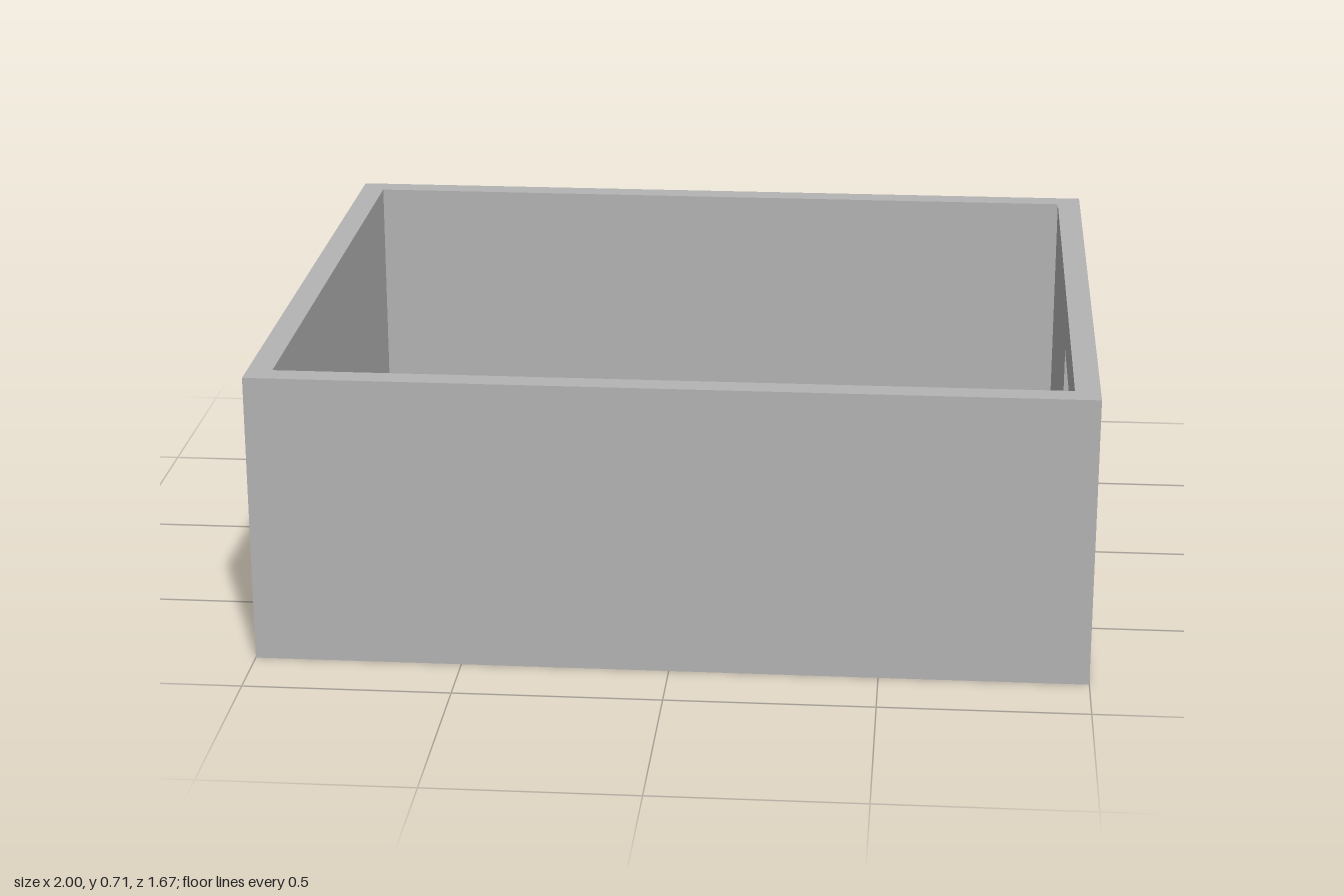
import * as THREE from 'three';
import { toCreasedNormals } from 'three/addons/utils/BufferGeometryUtils.js';

const X = 1, Z = 0.835, H = 0.715, T = 0.06; // half width, half depth, height, wall thickness

const polygon = (points) => new THREE.Shape(points.map(([u, v]) => new THREE.Vector2(u, v)));

const rectangle = (u0, v0, u1, v1) => [[u0, v0], [u1, v0], [u1, v1], [u0, v1]];

// Extrudes a (-z, y) profile along x, from x0 to x1
function extrudeAlongX(shape, x0, x1) {
  const geometry = new THREE.ExtrudeGeometry(shape, { depth: x1 - x0, bevelEnabled: false });
  return geometry.rotateY(Math.PI / 2).translate(x0, 0, 0);
}

export function createModel() {
  const model = new THREE.Group();
  model.name = 'openEnclosure';
  const grey = new THREE.MeshStandardMaterial({ color: 0xb4b4b4 });
  grey.name = 'grey';

  const add = (name, geometry) => {
    const mesh = new THREE.Mesh(geometry, grey);
    mesh.name = name;
    model.add(mesh);
    return mesh;
  };

  // Floor with the front and back walls, as one U profile
  const channel = polygon([
    [-Z, 0], [Z, 0], [Z, H], [Z - T, H], [Z - T, T], [-Z + T, T], [-Z + T, H], [-Z, H],
  ]);
  add('floorAndLongWalls', extrudeAlongX(channel, -X + T, X - T));

  // Plain end wall
  add('plainEndWall', extrudeAlongX(polygon(rectangle(-Z, 0, Z, H)), -X, -X + T));

  // End wall with the rectangular port
  const portWall = polygon(rectangle(-Z, 0, Z, H));
  portWall.holes.push(polygon(rectangle(-0.45, 0.345, -0.125, 0.595)));
  add('portEndWall', extrudeAlongX(portWall, X - T, X));

  // Hollow mounting posts standing on the floor
  const ring = new THREE.Shape().absarc(0, 0, 0.07, 0, Math.PI * 2);
  ring.holes.push(new THREE.Path().absarc(0, 0, 0.028, 0, Math.PI * 2, true));
  const post = toCreasedNormals(
    new THREE.ExtrudeGeometry(ring, { depth: 0.125, bevelEnabled: false, curveSegments: 24 }).rotateX(-Math.PI / 2),
    Math.PI / 5,
  );
  for (const x of [-0.625, 0.66]) {
    for (const z of [-0.58, 0.58]) add('mountingPost', post).position.set(x, T, z);
  }

  return model;
}
